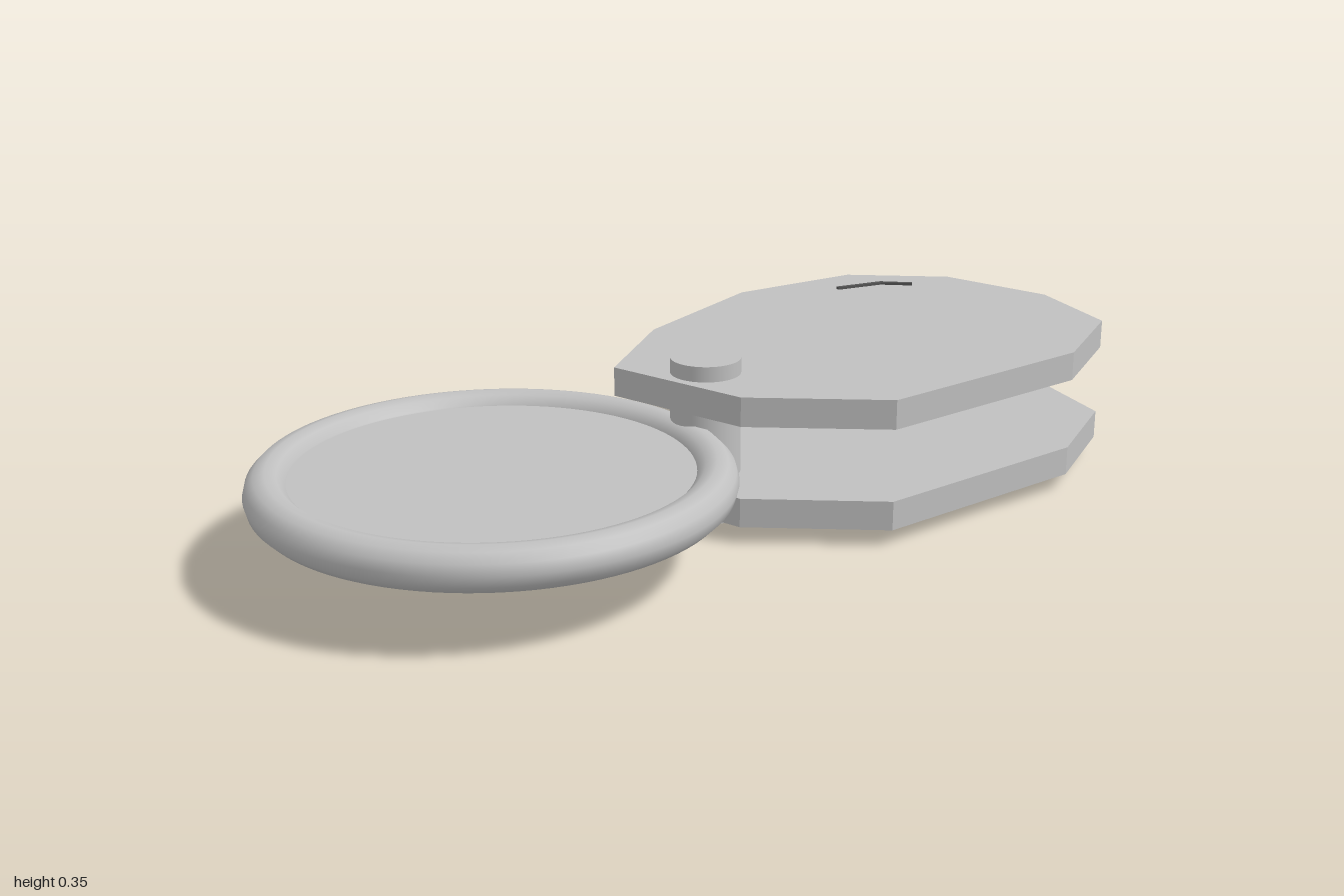
import * as THREE from 'three';

export function createModel() {
  const model = new THREE.Group();
  const silver = new THREE.MeshStandardMaterial({ color: 0xc0c0c0 });
  silver.name = 'silver';
  const darkGrey = new THREE.MeshStandardMaterial({ color: 0x555555 });
  darkGrey.name = 'darkGrey';

  const add = (name, geometry, material, x = 0, y = 0, z = 0) => {
    const mesh = new THREE.Mesh(geometry, material);
    mesh.name = name;
    mesh.position.set(x, y, z);
    model.add(mesh);
    return mesh;
  };

  // Flat plate from an [x, z] outline; its top face lies at y = 0
  const plate = (points, depth) => {
    const shape = new THREE.Shape(points.map(([x, z]) => new THREE.Vector2(x, z)));
    return new THREE.ExtrudeGeometry(shape, { depth, bevelEnabled: false }).rotateX(Math.PI / 2);
  };

  // Lens with its round rim
  const lensX = -0.509, lensY = 0.175, lensZ = -0.041;
  add('lensRim', new THREE.TorusGeometry(0.446, 0.045, 12, 96).rotateX(Math.PI / 2), silver, lensX, lensY, lensZ);
  add('lens', new THREE.CylinderGeometry(0.41, 0.41, 0.04, 96), silver, lensX, lensY, lensZ);

  // Two matching cover plates that the lens folds between
  const outline = [
    [-0.137, -0.09], [0.12, -0.24], [0.495, -0.325], [0.805, -0.258], [0.968, -0.07],
    [1.0, 0.2], [0.905, 0.428], [0.65, 0.528], [0.12, 0.472], [-0.092, 0.24],
  ];
  const cover = plate(outline, 0.063);
  add('upperCover', cover, silver, 0, 0.317, 0);
  add('lowerCover', cover, silver, 0, 0.098, 0);

  // Hinge pin through both covers
  add('hingePin', new THREE.CylinderGeometry(0.075, 0.075, 0.35, 48), silver, -0.02, 0.175, 0.067);

  // Thin bent mark on the upper cover
  const mark = [
    [0.683, -0.186], [0.797, -0.145], [0.845, -0.083],
    [0.838, -0.078], [0.79, -0.137], [0.68, -0.177],
  ];
  add('coverMark', plate(mark, 0.007), darkGrey, 0, 0.323, 0);

  return model;
}
